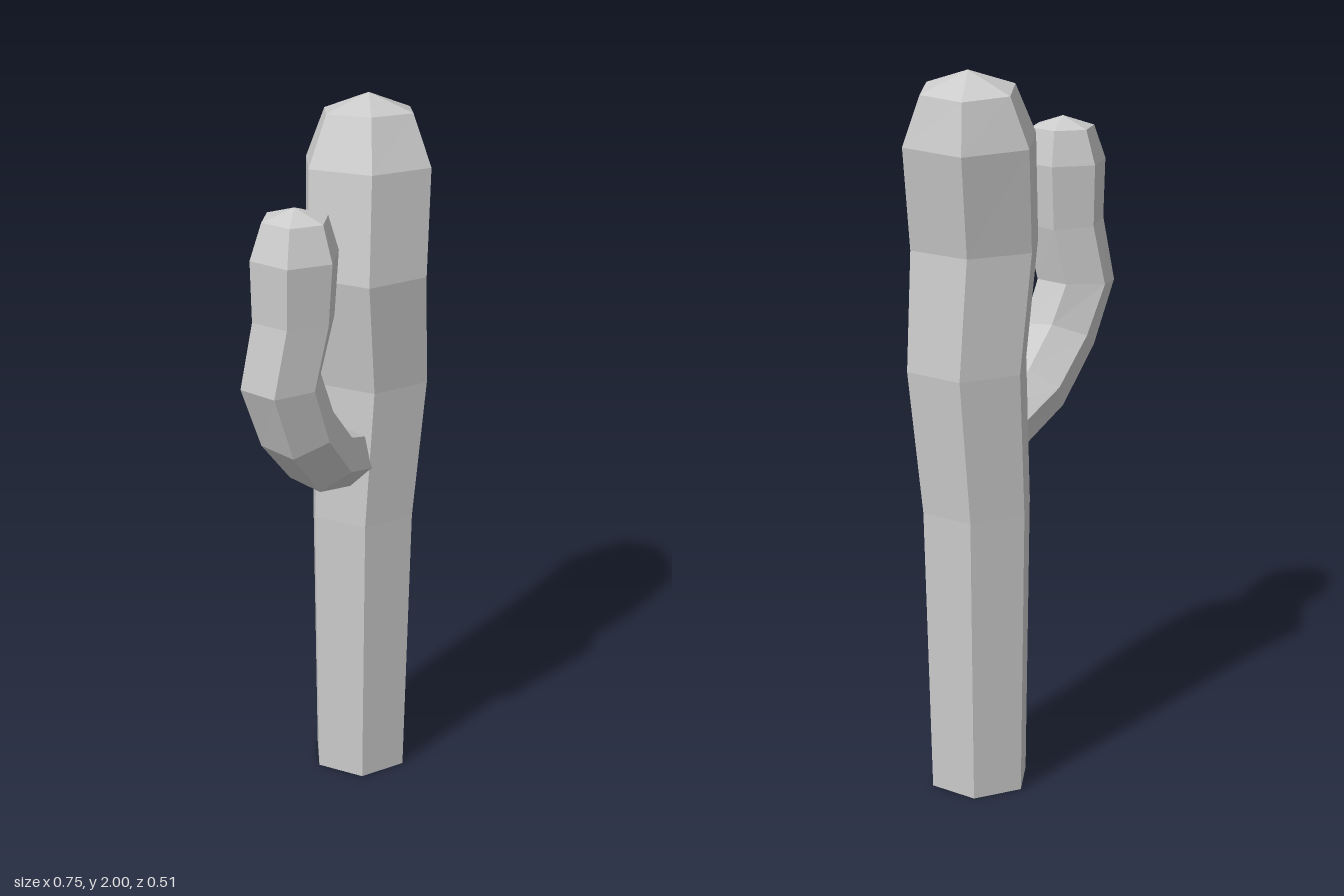
import * as THREE from 'three';

const SIDES = 6;
const rad = THREE.MathUtils.degToRad;

// Open-ended faceted stem through tilted hexagonal rings, closed by a point.
// heading: compass angle (x towards z) along which rings tilt upward
// twist: angle of the first corner measured from the heading
// rings: [x, y, z, radius, tilt in degrees], from root to tip
function stem(name, heading, twist, rings, tip, material) {
  const h = rad(heading);
  const across = new THREE.Vector3(-Math.sin(h), 0, Math.cos(h));
  const loops = rings.map(([x, y, z, r, tilt]) => {
    const t = rad(tilt);
    const along = new THREE.Vector3(Math.cos(h) * Math.cos(t), Math.sin(t), Math.sin(h) * Math.cos(t));
    return Array.from({ length: SIDES }, (_, i) => {
      const p = rad(twist + (i * 360) / SIDES);
      return new THREE.Vector3(x, y, z)
        .addScaledVector(along, r * Math.cos(p))
        .addScaledVector(across, r * Math.sin(p));
    });
  });
  const apex = new THREE.Vector3(...tip);
  const points = [];
  for (let i = 0; i < SIDES; i++) {
    const j = (i + 1) % SIDES;
    for (let k = 0; k < loops.length - 1; k++) {
      const a = loops[k], b = loops[k + 1];
      points.push(a[i], b[i], a[j], a[j], b[i], b[j]);
    }
    const top = loops[loops.length - 1];
    points.push(top[i], apex, top[j]);
  }
  const geometry = new THREE.BufferGeometry().setFromPoints(points);
  geometry.computeVertexNormals();
  const mesh = new THREE.Mesh(geometry, material);
  mesh.name = name;
  return mesh;
}

export function createModel() {
  const group = new THREE.Group();
  group.name = 'cactus';
  const material = new THREE.MeshStandardMaterial({
    color: 0xcccccc, flatShading: true, side: THREE.DoubleSide,
  });

  // Main trunk, gently wavy and open underneath
  group.add(stem('trunk', 125, 1, [
    [0.163, 0, -0.075, 0.1425, 0],
    [0.167, 0.81, -0.075, 0.158, 0],
    [0.192, 1.21, -0.07, 0.173, 1],
    [0.157, 1.53, -0.053, 0.184, 0],
    [0.1875, 1.815, -0.083, 0.189, 4],
    [0.202, 1.95, -0.1, 0.134, 6],
  ], [0.202, 2, -0.1], material));

  // Side arm, leaving the trunk and curving upward
  group.add(stem('arm', -30, 46, [
    [0.09, 1.0, -0.037, 0.088, 72],
    [-0.09, 1.07, 0.063, 0.1, 47],
    [-0.207, 1.2, 0.112, 0.106, 29],
    [-0.267, 1.35, 0.121, 0.112, 5],
    [-0.235, 1.52, 0.135, 0.114, -3],
    [-0.232, 1.69, 0.137, 0.122, 0],
    [-0.227, 1.785, 0.133, 0.091, 0],
  ], [-0.228, 1.815, 0.133], material));

  return group;
}
